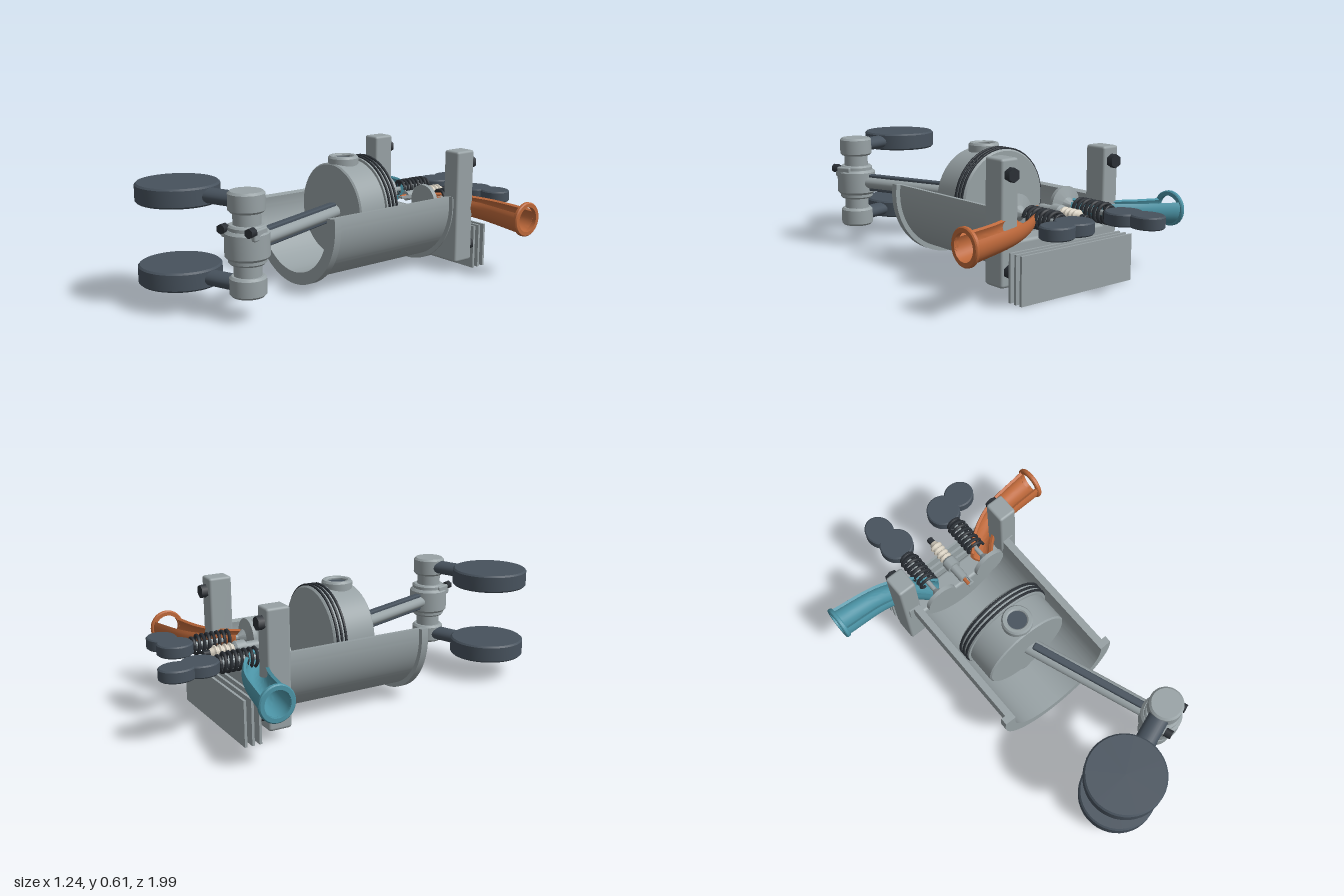
import * as THREE from 'three';
import { toCreasedNormals } from 'three/addons/utils/BufferGeometryUtils.js';
import { RoundedBoxGeometry } from 'three/addons/geometries/RoundedBoxGeometry.js';

const paint = (name, color) => new THREE.MeshStandardMaterial({ name, color });
const AXIS = 0.335; // height of the cylinder axis

// Solid of revolution about y, from [radius, height] pairs
function turned(profile, segments = 40) {
  const pts = profile.map(([r, y]) => new THREE.Vector2(r, y));
  return toCreasedNormals(new THREE.LatheGeometry(pts, segments), 0.6);
}

// Disc with a small chamfer, standing on the y axis
function puck(r, h, b = 0.008) {
  const t = h / 2;
  return turned([[0, -t], [r - b, -t], [r, b - t], [r, t - b], [r - b, t], [0, t]]);
}

// Cut-away half shell around the z axis
function halfShell(outer, inner, depth) {
  const a = Math.PI - 0.15, b = 2 * Math.PI + 0.15;
  const s = new THREE.Shape();
  s.absarc(0, 0, outer, a, b, false);
  s.absarc(0, 0, inner, b, a, true);
  return toCreasedNormals(new THREE.ExtrudeGeometry(s, { depth, bevelEnabled: false, curveSegments: 48 }), 0.5);
}

// Tapered pipe along a path, with an open slot along the top
function slottedPipe(path, radii, wall) {
  const curve = new THREE.CatmullRomCurve3(path), rings = 28, n = 25;
  const pos = [], idx = [], up = new THREE.Vector3(0, 1, 0);
  for (let i = 0; i <= rings; i++) {
    const t = i / rings, p = curve.getPoint(t), T = curve.getTangent(t);
    const s = up.clone().cross(T).normalize(), u = T.clone().cross(s);
    const k = Math.min(t * (radii.length - 1), radii.length - 1.0001), f = Math.floor(k);
    const R = THREE.MathUtils.lerp(radii[f], radii[f + 1], k - f);
    for (let j = 0; j < 2 * n; j++) {
      const m = j < n ? j : 2 * n - 1 - j, r = j < n ? R : R - wall;
      const a = (150 + 240 * m / (n - 1)) * Math.PI / 180;
      const q = p.clone().addScaledVector(s, r * Math.cos(a)).addScaledVector(u, r * Math.sin(a));
      pos.push(q.x, q.y, q.z);
    }
  }
  const w = 2 * n, end = rings * w;
  for (let i = 0; i < rings; i++) for (let j = 0; j < w; j++) {
    const a = i * w + j, b = i * w + (j + 1) % w;
    idx.push(a, b, b + w, a, b + w, a + w);
  }
  for (let j = 0; j < n - 1; j++) {
    const a = j, b = j + 1, c = w - 2 - j, d = w - 1 - j;
    idx.push(a, c, b, a, d, c, end + a, end + b, end + c, end + a, end + c, end + d);
  }
  const g = new THREE.BufferGeometry();
  g.setAttribute('position', new THREE.Float32BufferAttribute(pos, 3));
  g.setIndex(idx);
  return toCreasedNormals(g, 0.7);
}

export function createModel() {
  const model = new THREE.Group();
  model.name = 'cutawayEngine';
  const steel = paint('steel grey', 0x98a2a5), dark = paint('dark slate', 0x47525d);
  const black = paint('black steel', 0x2b3036), teal = paint('teal', 0x4b93a5);
  const orange = paint('copper orange', 0xbd683a), cream = paint('ceramic cream', 0xd9d2c3);

  function add(name, geo, mat, x = 0, y = 0, z = 0, parent = model) {
    const m = new THREE.Mesh(geo, mat);
    m.name = name;
    m.position.set(x, y, z);
    parent.add(m);
    return m;
  }
  const alongZ = g => g.rotateX(-Math.PI / 2); // +y becomes -z

  // Cylinder: half shell with a flange at each end
  add('cylinderShell', halfShell(0.3, 0.265, 0.72), steel, 0, AXIS, -0.47);
  add('frontFlange', halfShell(0.323, 0.265, 0.035), steel, 0, AXIS, 0.23);
  add('rearFlange', halfShell(0.323, 0.265, 0.035), steel, 0, AXIS, -0.497);

  // Head frame: cross block, posts, nuts and cooling fins
  add('headBlock', new RoundedBoxGeometry(0.69, 0.2, 0.11, 3, 0.015), steel, 0, 0.152, -0.525);
  for (const s of [-1, 1]) {
    add('headPost', new RoundedBoxGeometry(0.092, 0.55, 0.112, 3, 0.012), steel, s * 0.299, 0.33, -0.524);
    for (const y of [0.125, 0.538]) {
      add('postNut', alongZ(new THREE.CylinderGeometry(0.032, 0.032, 0.032, 6)), black, s * 0.302, y, -0.594);
    }
  }
  for (const z of [-0.615, -0.65, -0.685]) {
    add('coolingFin', new THREE.BoxGeometry(0.66, 0.215, 0.012), steel, 0, 0.1075, z);
  }

  // Piston with rings and wrist pin
  add('piston', alongZ(turned([[0, -0.035], [0.218, -0.035], [0.225, -0.028], [0.225, 0.115], [0.238, 0.115],
    [0.238, 0.182], [0.23, 0.19], [0, 0.19]], 64)), steel, 0, AXIS, 0);
  for (const z of [-0.13, -0.152, -0.174]) {
    add('pistonRing', alongZ(puck(0.246, 0.011, 0.002)), black, 0, AXIS, z);
  }
  add('wristPin', new THREE.CylinderGeometry(0.05, 0.05, 0.485, 32), dark, 0, AXIS, -0.04);
  for (const s of [-1, 1]) {
    add('pinBoss', turned([[0.046, -0.05], [0.066, -0.05], [0.073, -0.04], [0.073, 0.04], [0.066, 0.05],
      [0.052, 0.05], [0.046, 0.044], [0.046, -0.05]]), steel, 0, AXIS + s * 0.206, -0.04);
  }

  // Connecting rod, built along its own z
  const crank = new THREE.Vector3(0.264, AXIS, 0.685);
  const rod = new THREE.Group(), len = Math.hypot(crank.x, crank.z + 0.04);
  rod.name = 'connectingRod';
  rod.position.set(0, AXIS, -0.04);
  rod.rotation.y = Math.atan2(crank.x, crank.z + 0.04);
  model.add(rod);
  const shank = alongZ(new THREE.CapsuleGeometry(0.042, len - 0.08, 8, 24));
  add('rodShank', shank.scale(1, 0.75, 1), steel, 0, 0, len / 2, rod);
  add('rodChannel', new RoundedBoxGeometry(0.036, 0.086, len - 0.18, 2, 0.008), dark, 0, 0, len / 2, rod);
  add('rodBigEnd', puck(0.097, 0.125, 0.012), steel, 0, 0, len, rod);
  add('bearingCollar', puck(0.082, 0.17, 0.008), steel, 0, 0, len, rod);
  for (const s of [-1, 1]) {
    add('capLug', new RoundedBoxGeometry(0.04, 0.05, 0.09, 2, 0.008), steel, s * 0.07, 0.055, len + 0.02, rod);
    add('capBolt', alongZ(new THREE.CylinderGeometry(0.022, 0.022, 0.035, 6)), black, s * 0.072, 0.07, len + 0.07, rod);
  }

  // Crankpin, arms and round counterweights
  add('crankpin', new THREE.CylinderGeometry(0.06, 0.06, 0.4, 32), steel, crank.x, AXIS, crank.z);
  const weight = new THREE.Vector3(-0.09, 0, 0.808);
  const armLength = Math.hypot(crank.x - weight.x, crank.z - weight.z);
  for (const s of [-1, 1]) {
    const y = AXIS + s * 0.182;
    add('crankpinCap', puck(0.08, 0.09, 0.01), steel, crank.x, y, crank.z);
    add('counterweight', puck(0.185, 0.086), dark, weight.x, y, weight.z);
    const arm = alongZ(new THREE.CapsuleGeometry(0.048, armLength - 0.1, 8, 24)).scale(1, 0.7, 1);
    const m = add('crankArm', arm, dark, (crank.x + weight.x) / 2, y, (crank.z + weight.z) / 2);
    m.rotation.y = Math.atan2(crank.x - weight.x, crank.z - weight.z);
  }

  // Valves, springs, cams and ports on each side
  for (const s of [-1, 1]) {
    const x = s * 0.148;
    add('valve', alongZ(turned([[0, 0.43], [0.083, 0.43], [0.085, 0.45], [0.035, 0.465], [0.012, 0.495],
      [0.012, 0.77], [0, 0.77]])), steel, x, AXIS, 0);
    const coil = [];
    for (let i = 0; i <= 112; i++) {
      const a = i / 16 * 2 * Math.PI;
      coil.push(new THREE.Vector3(0.042 * Math.cos(a), 0.042 * Math.sin(a), -0.54 - 0.175 * i / 112));
    }
    add('valveSpring', new THREE.TubeGeometry(new THREE.CatmullRomCurve3(coil), 224, 0.008, 6), black, x, AXIS, 0);
    add('springRetainer', alongZ(puck(0.04, 0.014, 0.003)), black, x, AXIS, -0.722);
    add('camBase', puck(0.084, 0.056, 0.006), dark, x, AXIS, -0.805);
    const lobe = add('camLobe', puck(0.07, 0.056, 0.006), dark, s < 0 ? -0.168 : 0.263, AXIS, s < 0 ? -0.918 : -0.826);
    lobe.scale.set(s < 0 ? 1 : 1.1, 1, s < 0 ? 1.17 : 1);

    const mat = s < 0 ? teal : orange, side = s < 0 ? 'exhaust' : 'intake';
    const path = [[0.14, 0.335, -0.49], [0.22, 0.33, -0.57], [0.36, 0.317, -0.637], [0.605, 0.295, -0.672]]
      .map(([px, py, pz]) => new THREE.Vector3(s * px, py, pz));
    add(side + 'Port', slottedPipe(path, [0.055, 0.056, 0.064, 0.074], 0.014), mat);
    const ring = turned([[0.06, -0.011], [0.078, -0.011], [0.083, -0.006], [0.083, 0.006], [0.078, 0.011],
      [0.06, 0.011], [0.06, -0.011]]);
    add(side + 'Flange', ring.rotateZ(Math.PI / 2), mat, s * 0.607, 0.295, -0.672);
  }

  // Spark plug
  add('plugBody', alongZ(turned([[0, 0.45], [0.024, 0.45], [0.024, 0.53], [0.036, 0.53], [0.036, 0.575],
    [0.028, 0.585], [0, 0.585]], 24)), steel, 0, AXIS, 0);
  const ribs = [[0, 0.58], [0.026, 0.58]];
  for (let i = 0; i < 4; i++) {
    const z = 0.59 + i * 0.025;
    ribs.push([0.024, z], [0.032, z + 0.006], [0.032, z + 0.012], [0.024, z + 0.018]);
  }
  add('plugInsulator', alongZ(turned([...ribs, [0.018, 0.7], [0, 0.7]], 24)), cream, 0, AXIS, 0);
  add('plugTerminal', alongZ(puck(0.016, 0.04, 0.003)), black, 0, AXIS, -0.712);
  add('plugElectrode', alongZ(puck(0.009, 0.04, 0.002)), orange, 0, AXIS, -0.435);
  add('groundStrap', new THREE.BoxGeometry(0.008, 0.012, 0.05), steel, 0.02, AXIS, -0.432);
  add('groundTip', new THREE.BoxGeometry(0.03, 0.012, 0.008), steel, 0.01, AXIS, -0.408);
  return model;
}
